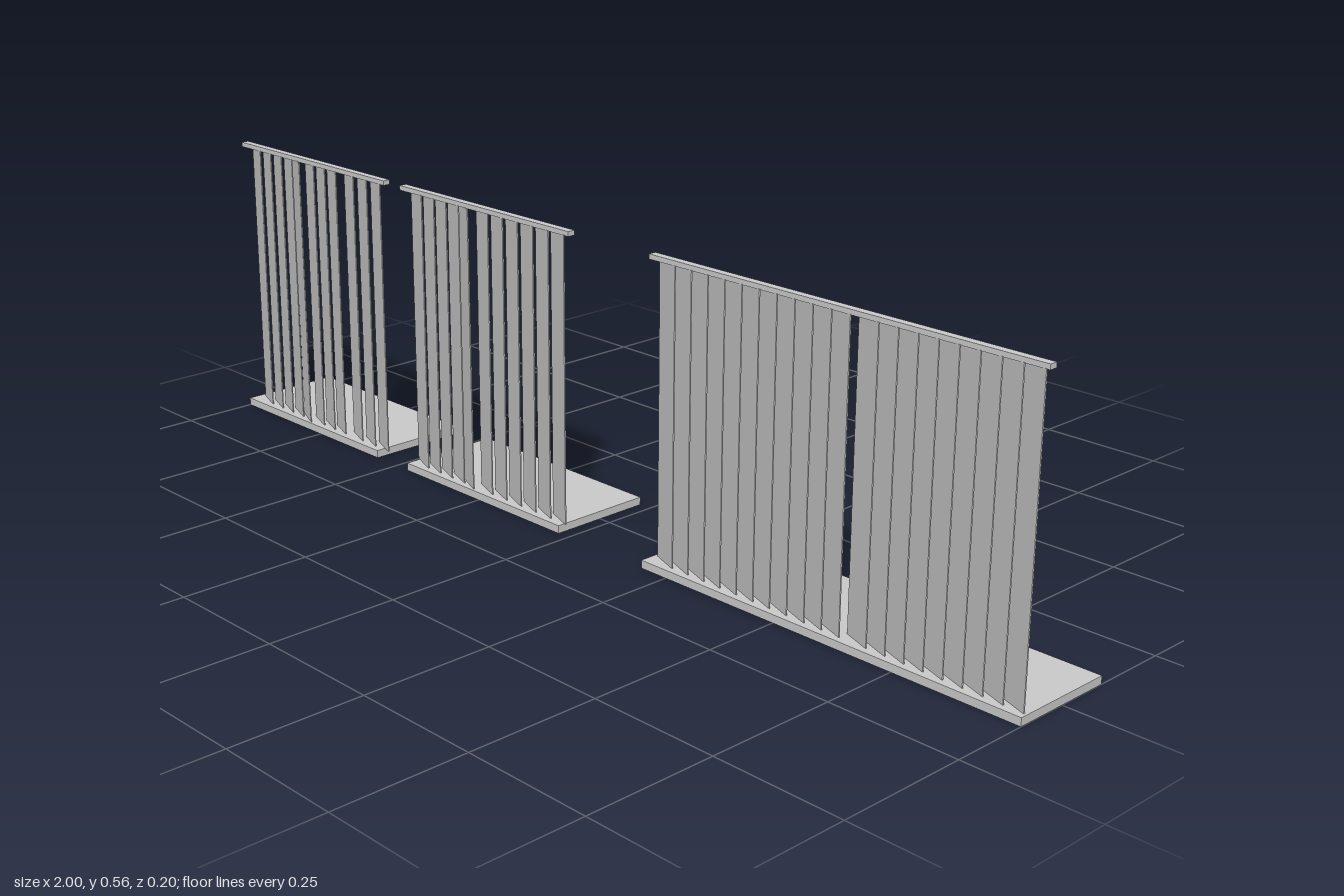
import * as THREE from 'three';

const material = new THREE.MeshStandardMaterial({ color: 0xcccccc, flatShading: true });

function box(name, w, h, d, x, y, z) {
  const mesh = new THREE.Mesh(new THREE.BoxGeometry(w, h, d), material);
  mesh.name = name;
  mesh.position.set(x, y, z);
  return mesh;
}

const SLAT_WIDTH = 0.06, SLAT_HEIGHT = 0.54, YAW = 0.35;
const SPAN = SLAT_WIDTH * Math.cos(YAW);

// A run of overlapping vertical slats, all turned the same way
function slatRun(x0, x1, count, loose = []) {
  const run = new THREE.Group();
  run.name = 'slatRun';
  const step = (x1 - x0 - SPAN) / (count - 1);
  for (let i = 0; i < count; i++) {
    const slat = box('slat', SLAT_WIDTH, SLAT_HEIGHT, 0.002, x0 + SPAN / 2 + i * step, 0.285, 0.079);
    slat.rotation.y = -YAW;
    // a loose slat hangs slightly askew and further forward
    if (loose.includes(i)) {
      slat.position.z += 0.006;
      slat.rotation.set(0, -YAW - 0.05, 0.008);
    }
    run.add(slat);
  }
  return run;
}

// Base slab, slats and the head rail that carries them
function blind(name, base, rail, runs) {
  const group = new THREE.Group();
  group.name = name;
  group.add(box('base', base[1] - base[0], 0.015, 0.205, (base[0] + base[1]) / 2, 0.0075, 0));
  group.add(box('headRail', rail[1] - rail[0], 0.009, 0.015, (rail[0] + rail[1]) / 2, 0.5585, 0.081));
  for (const run of runs) group.add(slatRun(...run));
  return group;
}

export function createModel() {
  const model = new THREE.Group();
  model.name = 'verticalBlinds';
  model.add(
    blind('rightBlind', [-1, -0.56], [-1, -0.53], [[-0.99, -0.68, 8, [4]], [-0.68, -0.54, 3]]),
    blind('middleBlind', [-0.465, -0.025], [-0.48, -0.01], [[-0.47, -0.27, 5, [4]], [-0.28, -0.02, 6]]),
    blind('leftBlind', [0.19, 1], [0.19, 1], [[0.197, 0.632, 11], [0.632, 0.995, 9]]),
  );
  return model;
}
